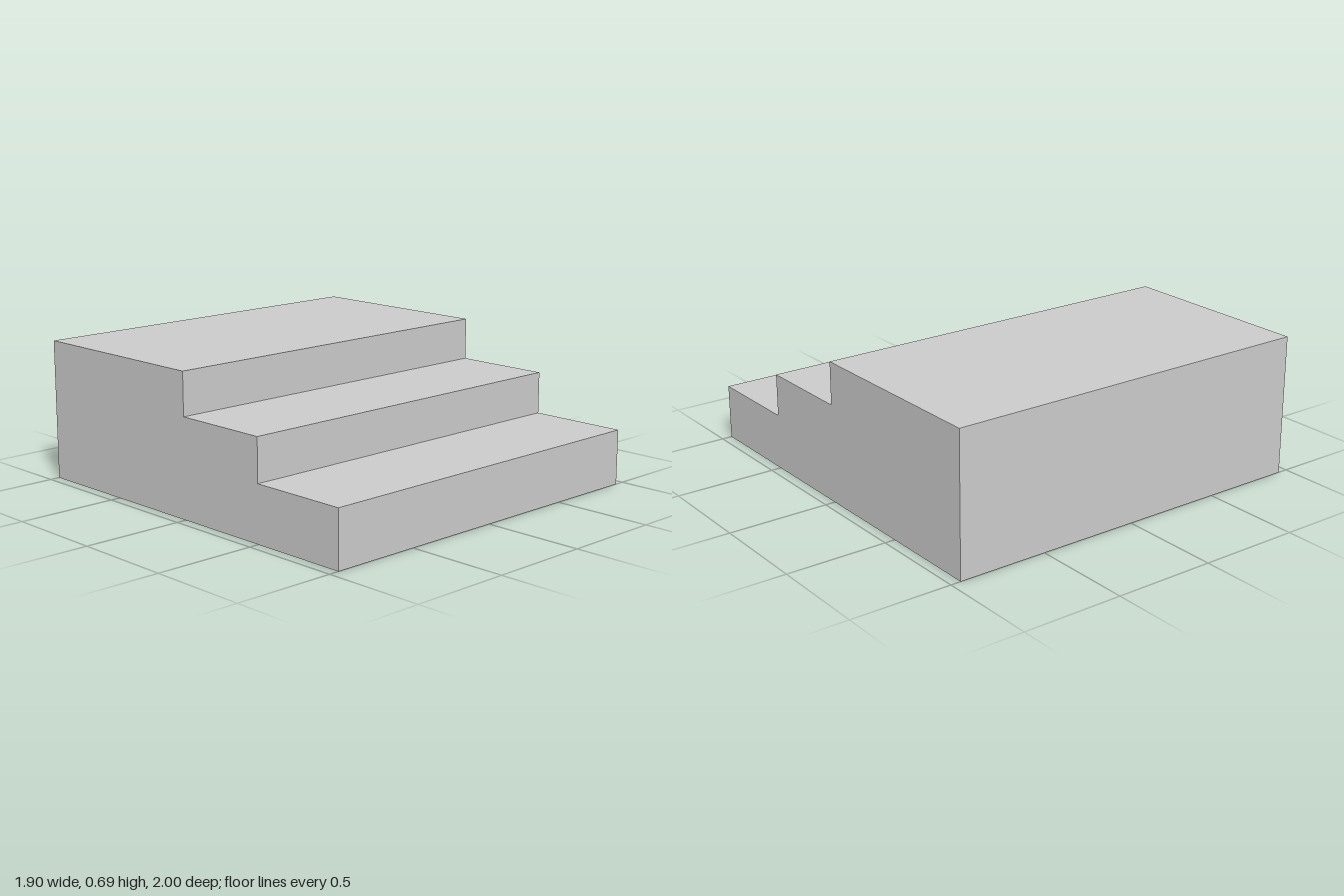
import * as THREE from 'three';

export function createModel() {
  const group = new THREE.Group();
  const width = 1.9;

  // Side profile: shape x runs along the depth (front at +1), y is up
  const steps = [
    { front: 1, back: 0.5, height: 0.275 },
    { front: 0.5, back: 0, height: 0.485 },
    { front: 0, back: -1, height: 0.695 },
  ];
  const profile = new THREE.Shape();
  profile.moveTo(-1, 0);
  profile.lineTo(1, 0);
  for (const { front, back, height } of steps) {
    profile.lineTo(front, height);
    profile.lineTo(back, height);
  }
  profile.closePath();

  // Solid stair block, extruded across the width
  const geometry = new THREE.ExtrudeGeometry(profile, { depth: width, bevelEnabled: false });
  geometry.rotateY(-Math.PI / 2);
  geometry.translate(width / 2, 0, 0);

  const stairs = new THREE.Mesh(
    geometry,
    new THREE.MeshStandardMaterial({ color: 0xcccccc, flatShading: true })
  );
  stairs.name = 'stairs';
  group.add(stairs);
  return group;
}
